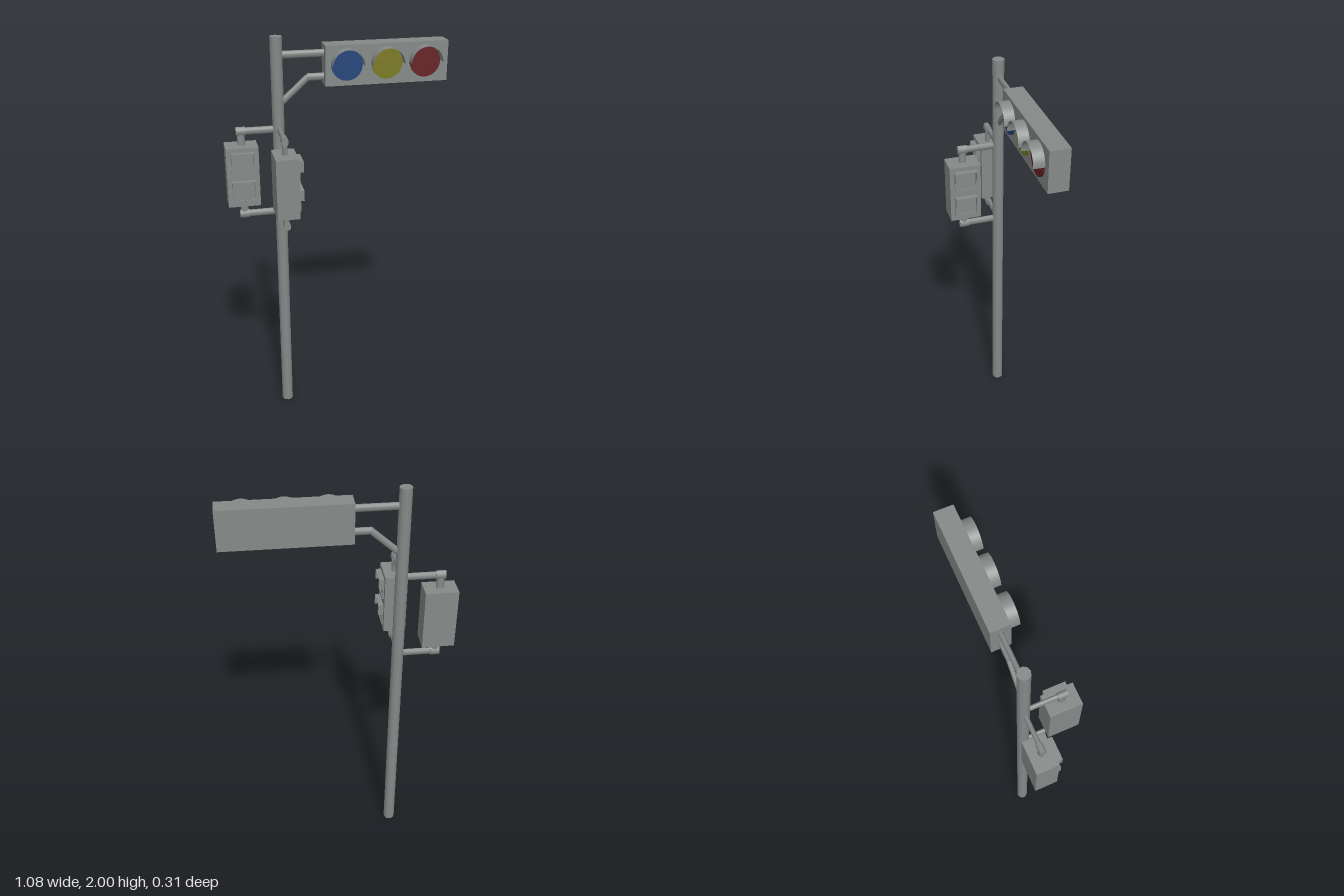
import * as THREE from 'three';

const grey = new THREE.MeshStandardMaterial({ color: 0x858a88 });
grey.name = 'painted metal grey';
const hoodGrey = new THREE.MeshStandardMaterial({ color: 0x858a88, side: THREE.DoubleSide });
hoodGrey.name = 'hood grey';
const lensColours = { blue: 0x24457c, yellow: 0x7c7a24, red: 0x672225 };

const POLE_X = -0.278, POLE_Z = -0.107;

function add(parent, name, geometry, material, x = 0, y = 0, z = 0) {
  const mesh = new THREE.Mesh(geometry, material);
  mesh.name = name;
  mesh.position.set(x, y, z);
  parent.add(mesh);
  return mesh;
}

const box = (w, h, d) => new THREE.BoxGeometry(w, h, d);

// Oval bar lying along x, flattened in z
function bar(length, ry, rz, sides = 10) {
  return new THREE.CylinderGeometry(1, 1, length, sides).rotateZ(Math.PI / 2).scale(1, ry, rz);
}

// Oval bar between two points in the xy plane
function strut(parent, name, a, b, ry, rz) {
  const dx = b[0] - a[0], dy = b[1] - a[1];
  const mesh = add(parent, name, bar(Math.hypot(dx, dy), ry, rz), grey,
    (a[0] + b[0]) / 2, (a[1] + b[1]) / 2, 0);
  mesh.rotation.z = Math.atan2(dy, dx);
}

// Horizontal three-lamp head with its two arms, z measured from the pole
function vehicleSignal() {
  const g = new THREE.Group();
  g.name = 'vehicleSignal';
  add(g, 'signalHousing', box(0.592, 0.19, 0.091), grey, 0.24, 1.86, 0);
  const face = 0.0455, r = 0.074;
  [['blue', 0.045], ['yellow', 0.237], ['red', 0.422]].forEach(([colour, x]) => {
    const material = new THREE.MeshStandardMaterial({ color: lensColours[colour] });
    material.name = colour + ' lens';
    const lens = new THREE.CylinderGeometry(r, r, 0.009, 32).rotateX(Math.PI / 2);
    add(g, colour + 'Lens', lens, material, x, 1.864, face + 0.0045);
    // Half-round hood over the lens
    const hood = new THREE.CylinderGeometry(r + 0.002, r + 0.002, 0.05, 20, 1, true, Math.PI / 2, Math.PI)
      .rotateX(Math.PI / 2);
    add(g, colour + 'Hood', hood, hoodGrey, x, 1.864, face + 0.025);
  });
  strut(g, 'upperArm', [POLE_X, 1.914], [-0.05, 1.914], 0.018, 0.011);
  strut(g, 'lowerArm', [-0.137, 1.804], [-0.05, 1.804], 0.018, 0.011);
  strut(g, 'lowerBrace', [POLE_X, 1.674], [-0.13, 1.806], 0.016, 0.011);
  return g;
}

// Two-window head facing +z, centred on its own vertical axis
function pedestrianHead() {
  const g = new THREE.Group();
  g.name = 'pedestrianHead';
  add(g, 'housing', box(0.156, 0.297, 0.108), grey, 0, 1.347, 0);
  const face = 0.054, w = 0.11, h = 0.104, t = 0.004, lip = 0.008, deep = 0.025;
  for (const y of [1.422, 1.28]) {
    const hood = new THREE.Group();
    hood.name = 'windowHood';
    hood.position.set(0, y, face);
    g.add(hood);
    add(hood, 'window', box(w - t, h - t, 0.003), grey, 0, 0, 0.0015);
    add(hood, 'hoodTop', box(w, t, deep), grey, 0, h / 2 - t / 2, deep / 2);
    add(hood, 'hoodSill', box(w, t, lip), grey, 0, -h / 2 + t / 2, lip / 2);
    for (const s of [-1, 1]) {
      const x = s * (w / 2 - t / 2);
      add(hood, 'hoodUpperSide', box(t, h / 2, deep), grey, x, h / 4, deep / 2);
      add(hood, 'hoodLowerSide', box(t, h / 2, lip), grey, x, -h / 4, lip / 2);
    }
  }
  return g;
}

// Arm pair reaching along -x from the pole, with elbows and stubs
function bracket() {
  const g = new THREE.Group();
  g.name = 'bracket';
  const reach = 0.182;
  for (const [y, toward] of [[1.562, -1], [1.139, 1]]) {
    add(g, 'arm', bar(reach, 0.018, 0.011), grey, -reach / 2, y, 0);
    add(g, 'elbow', bar(0.046, 0.022, 0.0165, 12), grey, -reach, y, 0);
    const stub = new THREE.CylinderGeometry(1, 1, 0.075, 10).scale(0.019, 1, 0.013);
    add(g, 'stub', stub, grey, -reach, y + toward * 0.0375, 0);
  }
  return g;
}

export function createModel() {
  const model = new THREE.Group();
  model.name = 'trafficSignalPole';
  add(model, 'pole', new THREE.CylinderGeometry(0.029, 0.029, 2, 10), grey, POLE_X, 1, POLE_Z);

  const signal = vehicleSignal();
  signal.position.z = POLE_Z;
  model.add(signal);

  // Head beside the pole, facing front
  const sideHead = pedestrianHead();
  sideHead.position.set(-0.462, 0, POLE_Z);
  const sideBracket = bracket();
  sideBracket.position.set(POLE_X, 0, POLE_Z);

  // Head in front of the pole, facing +x
  const frontHead = pedestrianHead();
  frontHead.position.set(POLE_X, 0, 0.076);
  frontHead.rotation.y = Math.PI / 2;
  const frontBracket = bracket();
  frontBracket.position.set(POLE_X, 0, POLE_Z);
  frontBracket.rotation.y = Math.PI / 2;

  model.add(sideHead, sideBracket, frontHead, frontBracket);
  return model;
}
